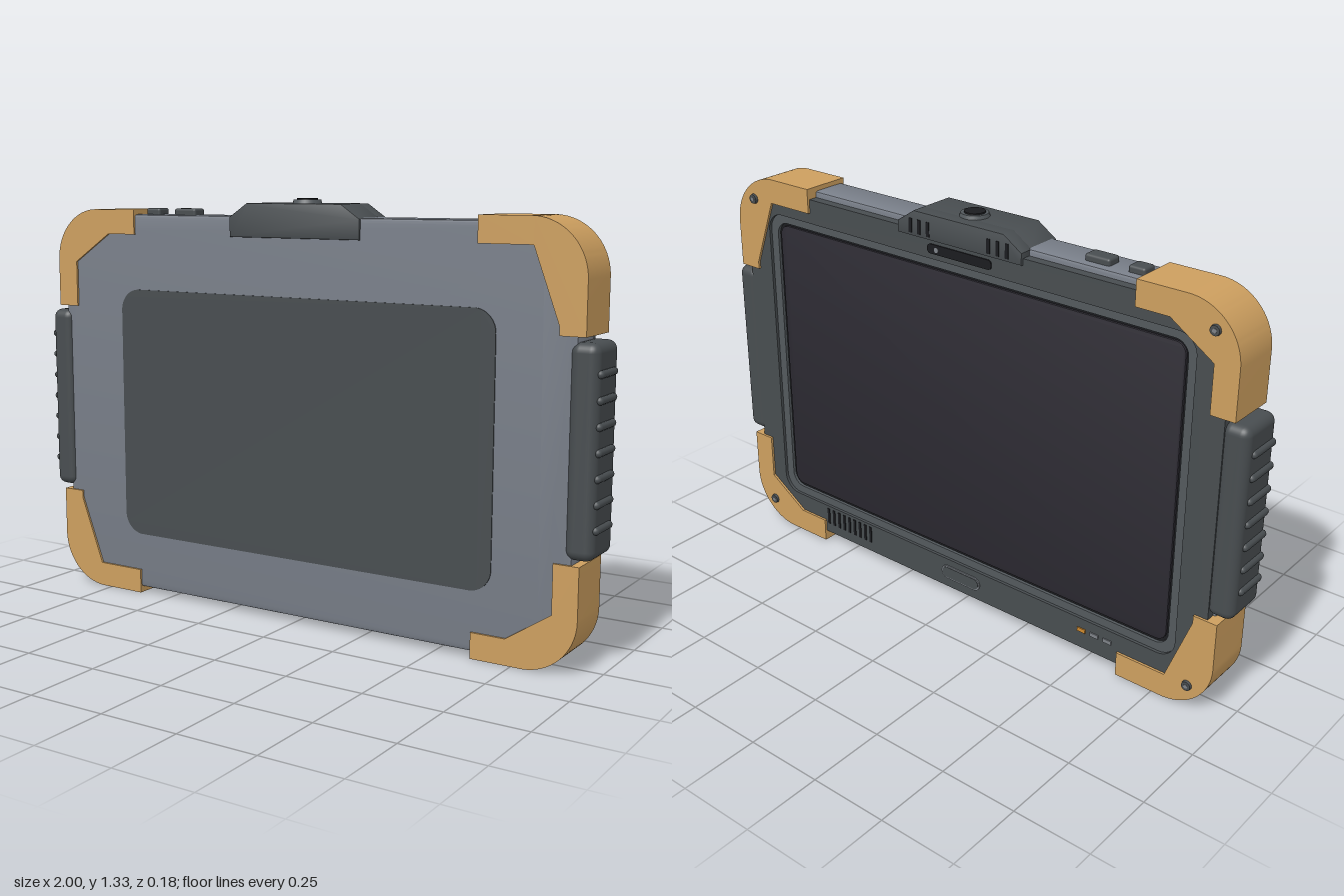
import * as THREE from 'three';
import { mergeVertices, toCreasedNormals } from 'three/addons/utils/BufferGeometryUtils.js';
import { RoundedBoxGeometry } from 'three/addons/geometries/RoundedBoxGeometry.js';

const mat = (name, color) => {
  const m = new THREE.MeshStandardMaterial({ color });
  m.name = name;
  return m;
};

export function createModel() {
  const tan = mat('tan rubber', 0xcd9f5f);
  const grey = mat('slate grey', 0x787e88);
  const dark = mat('dark grey', 0x484d50);
  const rimGrey = mat('rim grey', 0x53595d);
  const black = mat('black', 0x1b1c1f);
  const glass = mat('screen glass', 0x2c2a32);
  const steel = mat('steel', 0x7d8288);
  const amber = mat('amber light', 0xd08a2e);

  const model = new THREE.Group();
  model.name = 'ruggedTablet';

  const add = (name, geo, material, x = 0, y = 0, z = 0, parent = model) => {
    const mesh = new THREE.Mesh(geo, material);
    mesh.name = name;
    mesh.position.set(x, y, z);
    parent.add(mesh);
    return mesh;
  };

  // Rounded rectangle outline centred on (0, cy)
  const roundRect = (hw, y0, y1, r, Type = THREE.Shape) => {
    const s = new Type();
    s.moveTo(-hw + r, y0);
    s.lineTo(hw - r, y0);
    s.absarc(hw - r, y0 + r, r, -Math.PI / 2, 0);
    s.absarc(hw - r, y1 - r, r, 0, Math.PI / 2);
    s.absarc(-hw + r, y1 - r, r, Math.PI / 2, Math.PI);
    s.absarc(-hw + r, y0 + r, r, Math.PI, Math.PI * 1.5);
    return s;
  };

  // Extrude a shape between two depths; bevel eats inwards from the outline
  const slab = (shape, z0, z1, bevel = 0) => {
    const g = new THREE.ExtrudeGeometry(shape, {
      depth: z1 - z0 - 2 * bevel, bevelEnabled: bevel > 0, bevelSize: bevel,
      bevelOffset: -bevel, bevelThickness: bevel, bevelSegments: 2, curveSegments: 10,
    });
    g.translate(0, 0, z0 + bevel);
    g.deleteAttribute('normal');
    g.deleteAttribute('uv');
    return toCreasedNormals(mergeVertices(g, 1e-5), 0.6);
  };

  // Main shell and inset panel on the front
  add('shell', slab(roundRect(0.925, 0.02, 1.275, 0.15), -0.042, 0.078, 0.008), grey);
  add('frontPanel', slab(roundRect(0.68, 0.205, 1.03, 0.07), 0.074, 0.081), dark);

  // Screen side: bezel frame, raised rim and glass
  const bezel = roundRect(0.915, 0.035, 1.255, 0.14);
  bezel.holes.push(roundRect(0.815, 0.14, 1.175, 0.06, THREE.Path));
  add('bezel', slab(bezel, -0.072, -0.04), dark);
  const rim = roundRect(0.816, 0.139, 1.176, 0.061);
  rim.holes.push(roundRect(0.785, 0.168, 1.147, 0.045, THREE.Path));
  add('screenRim', slab(rim, -0.062, -0.04), rimGrey);
  add('screen', slab(roundRect(0.775, 0.178, 1.137, 0.035), -0.059, -0.04, 0.002), glass);
  add('screenSeal', slab(roundRect(0.79, 0.163, 1.152, 0.045), -0.052, -0.04), black);

  // Corner guards; (cx, cy) is the diagonal inner cut, alternating by half turns
  const guardShape = (cutX, cutY) => {
    const s = new THREE.Shape();
    s.moveTo(0.62, 0.645);
    s.lineTo(0.62, 0.565);
    s.lineTo(cutX, 0.565);
    s.lineTo(0.872, cutY);
    s.lineTo(0.872, 0.32);
    s.lineTo(0.95, 0.32);
    s.lineTo(0.95, 0.475);
    s.absarc(0.78, 0.475, 0.17, 0, Math.PI / 2);
    s.closePath();
    return s;
  };
  for (const sx of [1, -1]) for (const sy of [1, -1]) {
    const corner = new THREE.Group();
    corner.name = 'cornerGuard';
    corner.position.y = 0.645;
    const shape = sx === sy ? guardShape(0.79, 0.345) : guardShape(0.73, 0.47);
    const pts = shape.getPoints(14).map(p => new THREE.Vector2(p.x * sx, p.y * sy));
    add('guard', slab(new THREE.Shape(pts), -0.08, 0.085), tan, 0, 0, 0, corner);
    const screw = add('screw', new THREE.CylinderGeometry(0.015, 0.017, 0.01, 16), dark, 0.87 * sx, 0.565 * sy, -0.083, corner);
    screw.rotation.x = -Math.PI / 2;
    const slot = add('screwSocket', new THREE.CylinderGeometry(0.007, 0.007, 0.003, 6), steel, 0.87 * sx, 0.565 * sy, -0.088, corner);
    slot.rotation.x = -Math.PI / 2;
    model.add(corner);
  }

  // Ribbed side grips
  for (const sx of [1, -1]) {
    const grip = new THREE.Group();
    grip.name = 'sideGrip';
    add('gripPad', new RoundedBoxGeometry(0.085, 0.61, 0.162, 4, 0.028), dark, sx * 0.945, 0.645, 0.009, grip);
    for (let i = 0; i < 7; i++) {
      const rib = add('gripRib', new THREE.CapsuleGeometry(0.012, 0.096, 4, 10), dark, sx * 0.987, 0.43 + i * 0.0725, 0.018, grip);
      rib.rotation.x = Math.PI / 2;
    }
    model.add(grip);
  }

  // Top module with chamfered shoulders
  const moduleShape = y0 => new THREE.Shape([
    [-0.235, y0], [0.235, y0], [0.235, 1.272], [0.17, 1.315], [-0.17, 1.315], [-0.235, 1.272],
  ].map(p => new THREE.Vector2(...p)));
  add('topModule', slab(moduleShape(1.21), -0.035, 0.085, 0.003), dark);
  add('topModuleRear', slab(moduleShape(1.235), -0.08, -0.03, 0.003), dark);
  for (const sx of [1, -1]) for (let i = 0; i < 3; i++) {
    add('moduleVent', new THREE.BoxGeometry(0.012, 0.045, 0.006), black, sx * (0.115 + i * 0.034), 1.267, -0.079);
  }

  // Power button set in a ring
  add('powerRing', new THREE.CylinderGeometry(0.042, 0.046, 0.012, 32), rimGrey, 0, 1.32, 0);
  add('powerButton', new THREE.CylinderGeometry(0.032, 0.034, 0.016, 32), black, 0, 1.322, 0);

  // Small top buttons
  for (const [x, w] of [[-0.578, 0.056], [-0.448, 0.085]]) {
    add('topButton', new RoundedBoxGeometry(w, 0.04, 0.052, 3, 0.008), dark, x, 1.275, 0.01);
  }

  // Camera slot below the module
  add('cameraSlot', slab(roundRect(0.122, -0.015, 0.015, 0.012), -0.003, 0.003), black, 0, 1.208, -0.073);
  const lens = add('cameraLens', new THREE.CylinderGeometry(0.008, 0.008, 0.004, 16), steel, 0.085, 1.208, -0.0765);
  lens.rotation.x = Math.PI / 2;

  // Home button, an outlined oval
  add('homeButtonRing', slab(roundRect(0.08, -0.024, 0.024, 0.0235), -0.003, 0.003), steel, 0, 0.092, -0.073);
  add('homeButton', slab(roundRect(0.075, -0.019, 0.019, 0.0185), -0.003, 0.003), dark, 0, 0.092, -0.0745);

  // Speaker slots and status lights
  for (let i = 0; i < 9; i++) {
    add('speakerSlot', new THREE.BoxGeometry(0.01, 0.06, 0.005), black, 0.405 + i * 0.025, 0.1, -0.072);
  }
  [amber, steel, steel].forEach((m, i) => {
    add('statusLight', new THREE.BoxGeometry(0.03, 0.013, 0.006), m, -0.485 - i * 0.048, 0.1, -0.073);
  });

  return model;
}
